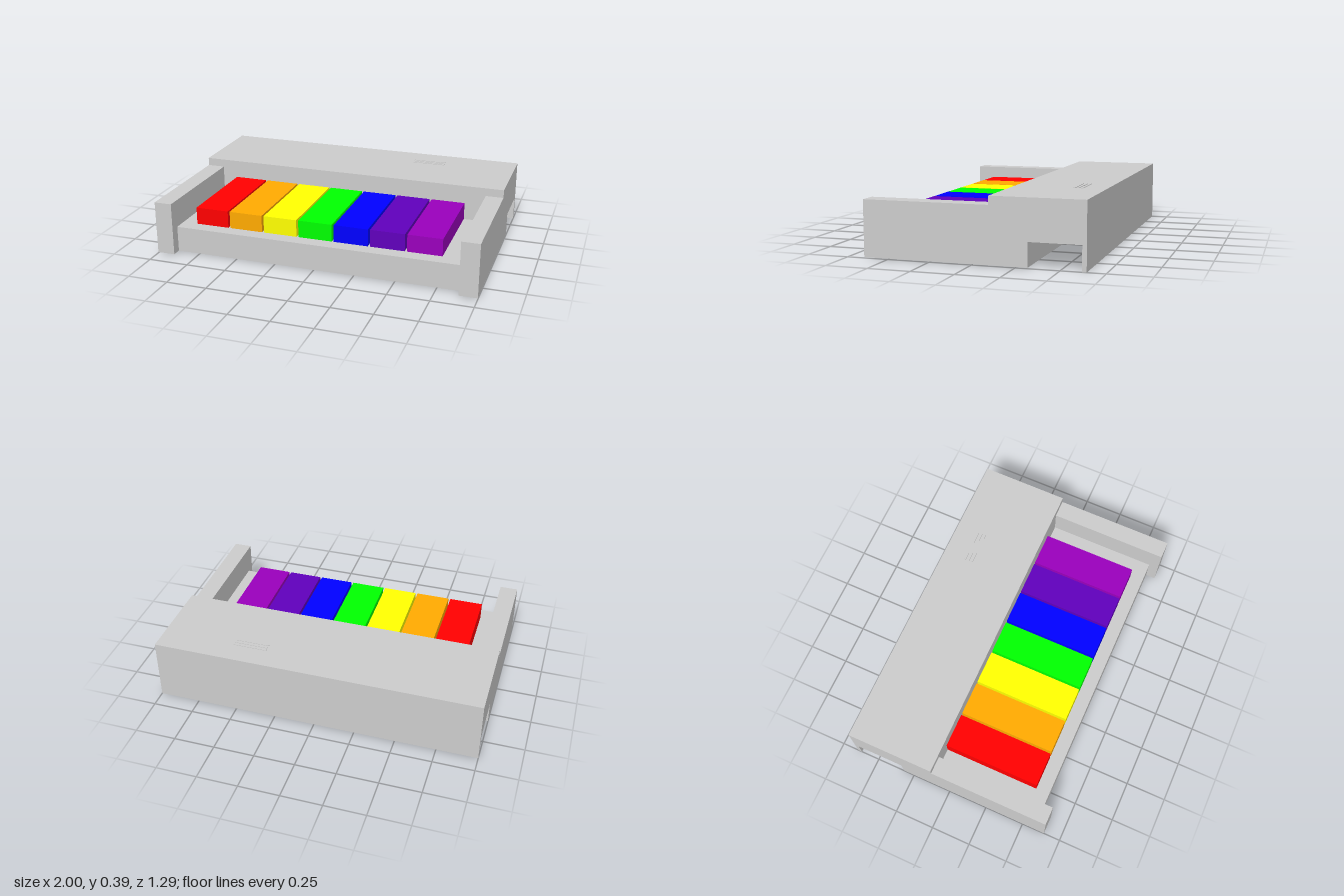
import * as THREE from 'three';

const grey = new THREE.MeshStandardMaterial({ color: 0xcccccc, flatShading: true });

// Box given by its minimum and maximum on each axis
function box(name, [x0, x1], [y0, y1], [z0, z1], material = grey) {
  const mesh = new THREE.Mesh(new THREE.BoxGeometry(x1 - x0, y1 - y0, z1 - z0), material);
  mesh.position.set((x0 + x1) / 2, (y0 + y1) / 2, (z0 + z1) / 2);
  mesh.name = name;
  return mesh;
}

export function createModel() {
  const model = new THREE.Group();
  model.name = 'toyKeyboard';

  // Rear housing: side profile in (z, y) with the open channel underneath, swept across x
  const profile = new THREE.Shape([
    [-0.1, 0.005], [-0.1, 0.385], [-0.645, 0.385], [-0.645, 0],
    [-0.62, 0], [-0.62, 0.145], [-0.32, 0.145], [-0.32, 0.005],
  ].map(([z, y]) => new THREE.Vector2(-z, y)));
  const housing = new THREE.Mesh(
    new THREE.ExtrudeGeometry(profile, { depth: 2, bevelEnabled: false }), grey);
  housing.rotation.y = Math.PI / 2;
  housing.position.x = -1;
  housing.name = 'rearHousing';
  model.add(housing);

  // Key bed and the two raised end blocks
  model.add(box('keyBed', [-0.89, 0.89], [0.005, 0.165], [-0.1, 0.585]));
  model.add(box('leftEndBlock', [0.89, 1], [0.005, 0.335], [-0.1, 0.645]));
  model.add(box('rightEndBlock', [-1, -0.89], [0.005, 0.335], [-0.1, 0.645]));

  // Seven coloured keys
  const keys = new THREE.Group();
  keys.name = 'keys';
  const colors = [0xff0000, 0xffaa00, 0xffff00, 0x00ff00, 0x0000ff, 0x6000bb, 0x9900bb];
  colors.forEach((color, i) => {
    const x = -0.795 + i * 0.224;
    const material = new THREE.MeshStandardMaterial({ color, flatShading: true });
    keys.add(box(`key${i + 1}`, [x, x + 0.211], [0.165, 0.272], [-0.1, 0.5], material));
  });
  model.add(keys);

  // Thin speaker bars on the housing
  const speaker = new THREE.Group();
  speaker.name = 'speakerBars';
  for (let i = 0; i < 3; i++) {
    const z = -0.503 + i * 0.0235;
    speaker.add(box(`speakerBar${i + 1}`, [0.337, 0.545], [0.38, 0.388], [z - 0.007, z + 0.007]));
  }
  model.add(speaker);

  return model;
}
